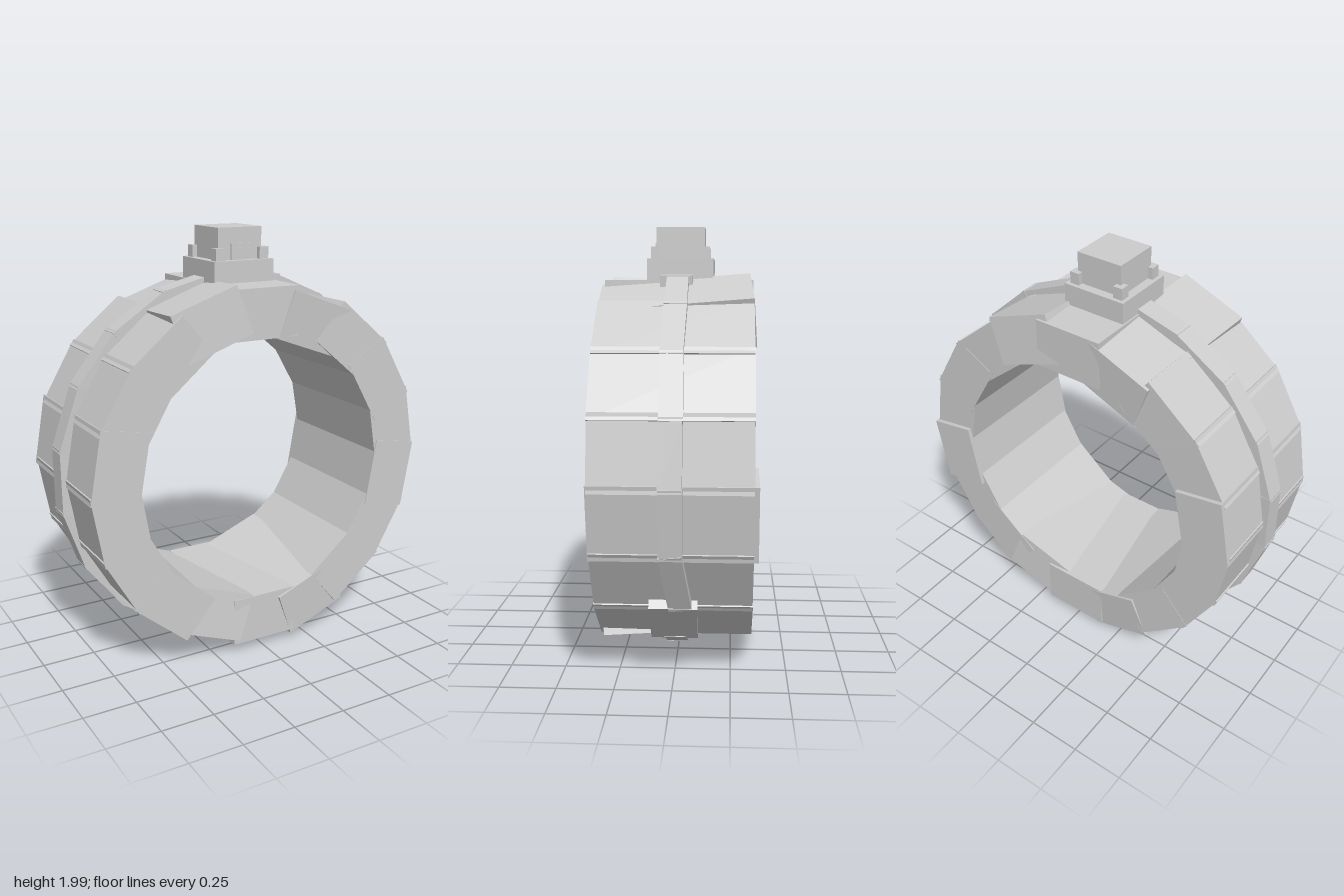
import * as THREE from 'three';

export function createModel() {
  const model = new THREE.Group();
  const stone = new THREE.MeshStandardMaterial({ color: 0xcccccc });
  stone.name = 'pale grey';

  const ring = new THREE.Group();
  ring.name = 'ring';
  ring.position.y = 0.905;
  model.add(ring);

  // Block on the ring: radial span r0..r1, tangential length, depth along z
  function ringBlock(name, degrees, r0, r1, length, depth, z = 0, tiltX = 0, tiltY = 0) {
    const holder = new THREE.Group();
    holder.name = name;
    holder.rotation.z = THREE.MathUtils.degToRad(degrees);
    const mesh = new THREE.Mesh(new THREE.BoxGeometry(r1 - r0, length, depth), stone);
    mesh.name = name + 'Block';
    mesh.position.set((r0 + r1) / 2, 0, z);
    mesh.rotation.set(tiltX, tiltY, 0);
    holder.add(mesh);
    ring.add(holder);
  }

  // Eighteen overlapping segments; the four beside top and bottom sit askew
  const askew = {
    70: [0.045, -0.065], 110: [-0.045, 0.065],
    250: [0.045, -0.065], 290: [-0.045, 0.065],
  };
  for (let i = 0; i < 18; i++) {
    const a = 10 + i * 20;
    const [tx, ty] = askew[a] || [0, 0];
    const wide = a === 170 || a === 350;
    const depth = wide ? 0.712 : 0.688 + (i % 2) * 0.003;
    ringBlock('ringSegment', a, 0.62, 0.85, 0.334, depth, wide ? -0.008 : 0, tx, ty);
  }

  // Nineteen narrow blocks form the raised band round the middle
  for (let i = 0; i < 19; i++) {
    const a = (i + 0.5) * 360 / 19;
    const width = i === 4 ? 0.15 : i === 16 ? 0.21 : 0.1;
    const z = i === 4 ? 0.01 : i === 17 ? -0.015 : 0;
    const yaw = i === 17 ? 0.12 : 0.02 * Math.sin(i * 2.3);
    ringBlock('bandSegment', a, 0.82, 0.885, 0.312, width, z, yaw);
  }

  // Setting on top
  function box(name, w, h, d, x, y, z) {
    const mesh = new THREE.Mesh(new THREE.BoxGeometry(w, h, d), stone);
    mesh.name = name;
    mesh.position.set(x, y, z);
    model.add(mesh);
  }
  const cx = -0.005;
  box('settingBase', 0.31, 0.17, 0.31, cx, 1.77, cx);
  box('gem', 0.226, 0.15, 0.226, cx, 1.925, cx);
  for (const sx of [-1, 1]) {
    for (const sz of [-1, 1]) {
      box('cornerProng', 0.046, 0.06, 0.046, cx + sx * 0.114, 1.88, cx + sz * 0.114);
    }
  }
  box('frontPlate', 0.1, 0.08, 0.02, cx, 1.89, 0.107);

  return model;
}
